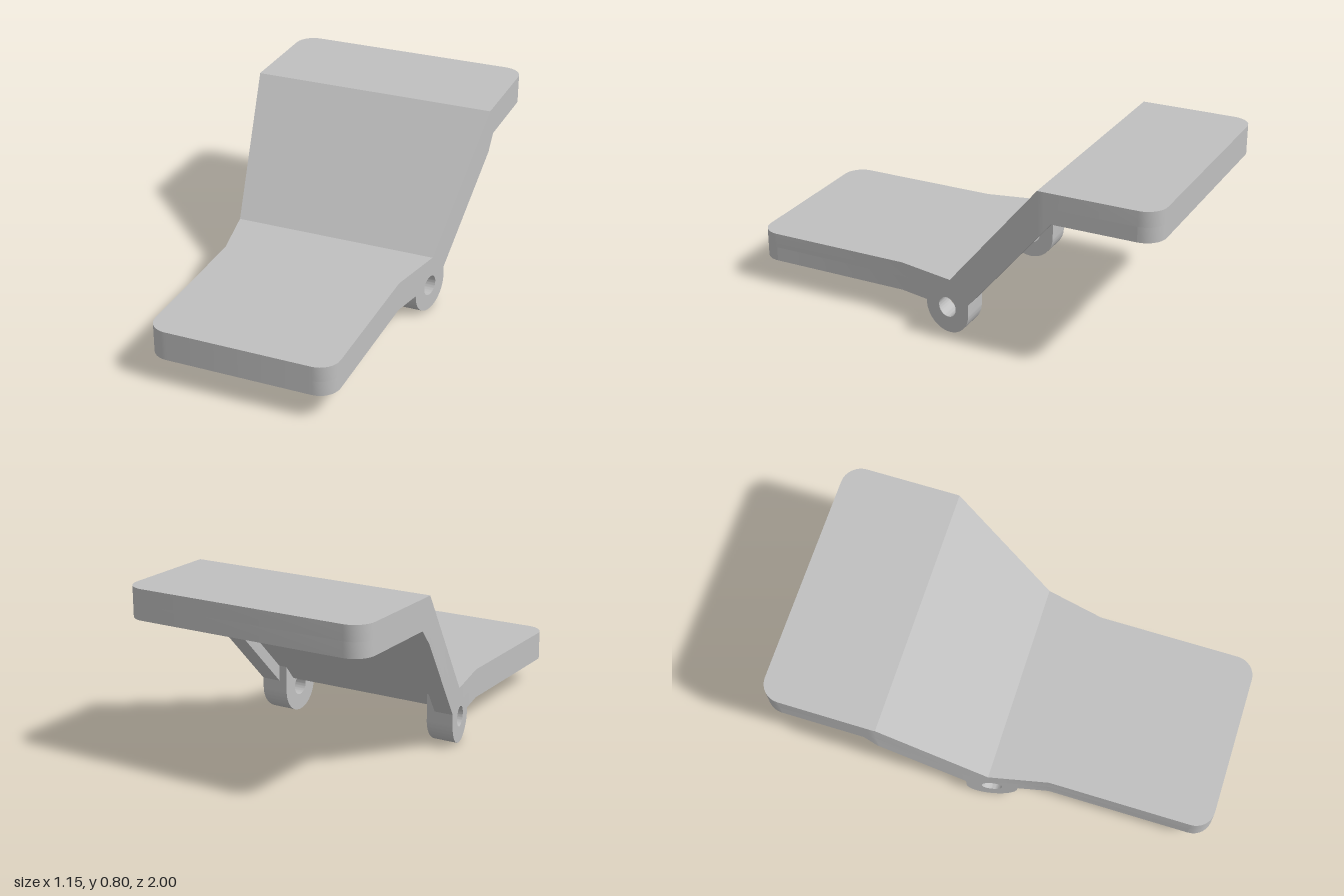
import * as THREE from 'three';
import { toCreasedNormals } from 'three/addons/utils/BufferGeometryUtils.js';

const CORNER = 0.09, RIM = 0.09;               // corner radius and rim width
const SKIN = 0.068, FLOOR = 0.088, DEEP = 0.135; // depths below the top face
const RISE = 1.198, COS = 0.641;               // slope of the ramp
const LUG_FRONT = 0.11, LUG_BACK = -0.12;

// Half width of the plan outline, with rounded end corners
function halfWidth(z) {
  const t = THREE.MathUtils.clamp((0.25 - z) / 0.73, 0, 1);
  const w = 0.42 + 0.155 * t;
  const over = Math.min(CORNER, Math.max(0, Math.abs(z) - (1 - CORNER)));
  return w - CORNER + Math.sqrt(CORNER * CORNER - over * over);
}
const inner = (z) => halfWidth(z) - RIM;

// Height of the bent profile at a given depth under the top face
const profile = (d) => (z) =>
  Math.min(Math.max(0.255 + RISE * (-z - 0.02) - d / COS, 0.255 - d), 0.8 - d);

// All z positions where outline or profile bends
const bends = [0.25, -0.48];
for (const d of [0, SKIN, FLOOR, DEEP]) {
  const shift = (d / COS - d) / RISE;
  bends.push(-0.02 - shift, -0.02 - 0.545 / RISE - shift);
}
for (let i = 0; i <= 8; i++) {
  const z = 1 - CORNER + CORNER * Math.sin((i / 8) * Math.PI / 2);
  bends.push(z, -z);
}

// Solid with four-sided sections, following the profile from z0 to z1
function loft(z0, z1, lo, hi, bottom, top) {
  const zs = [z0, ...bends.filter((z) => z > z0 + 1e-5 && z < z1 - 1e-5), z1].sort((a, b) => a - b);
  const pos = [], idx = [];
  for (const z of zs) {
    const b = bottom(z), t = top(z);
    pos.push(lo(z), b, z, hi(z), b, z, hi(z), t, z, lo(z), t, z);
  }
  for (let i = 0; i < zs.length - 1; i++) {
    for (let j = 0; j < 4; j++) {
      const a = i * 4 + j, b = i * 4 + (j + 1) % 4;
      idx.push(a, b, b + 4, a, b + 4, a + 4);
    }
  }
  const e = (zs.length - 1) * 4;
  idx.push(0, 3, 2, 0, 2, 1, e, e + 1, e + 2, e, e + 2, e + 3);
  const geo = new THREE.BufferGeometry();
  geo.setAttribute('position', new THREE.Float32BufferAttribute(pos, 3));
  geo.setIndex(idx);
  return toCreasedNormals(geo, 0.5);
}

// Hinge lug with a pin hole; its outer face follows the tapered side
function lugGeometry(side) {
  const s = new THREE.Shape();
  s.moveTo(-LUG_FRONT, 0.167);
  s.lineTo(-LUG_FRONT, 0.115);
  s.absarc(0.005, 0.115, 0.115, Math.PI, Math.PI * 2, false);
  s.lineTo(-LUG_BACK, 0.238);
  s.lineTo(0.061, 0.167);
  s.closePath();
  const hole = new THREE.Path();
  hole.absarc(0.005, 0.119, 0.046, 0, Math.PI * 2, true);
  s.holes.push(hole);
  const geo = new THREE.ExtrudeGeometry(s, { depth: 1, bevelEnabled: false, curveSegments: 24 });
  const p = geo.attributes.position;
  for (let i = 0; i < p.count; i++) {
    const z = -p.getX(i), t = p.getZ(i);
    const x = THREE.MathUtils.lerp(0.37, halfWidth(z), side > 0 ? t : 1 - t);
    p.setXYZ(i, side * x, p.getY(i), z);
  }
  return toCreasedNormals(geo, 0.5);
}

export function createModel() {
  const model = new THREE.Group();
  model.name = 'bentPedal';
  const grey = new THREE.MeshStandardMaterial({ color: 0xc0c0c0 });
  grey.name = 'light grey';
  const add = (name, geo) => {
    const mesh = new THREE.Mesh(geo, grey);
    mesh.name = name;
    model.add(mesh);
  };
  const at = (v) => () => v;
  const neg = (f) => (z) => -f(z);
  const top = profile(0), skin = profile(SKIN), floor = profile(FLOOR), deep = profile(DEEP);

  // Bent deck
  add('deck', loft(-1, 1, neg(halfWidth), halfWidth, skin, top));

  // Rim around the hollow underside
  add('frontRim', loft(1 - RIM, 1, neg(halfWidth), halfWidth, deep, skin));
  add('backRim', loft(-1, RIM - 1, neg(halfWidth), halfWidth, deep, skin));
  for (const side of [1, -1]) {
    const lo = side > 0 ? inner : neg(halfWidth);
    const hi = side > 0 ? halfWidth : neg(inner);
    const label = side > 0 ? 'left' : 'right';
    add(label + 'FrontSideRim', loft(LUG_FRONT, 1 - RIM, lo, hi, deep, skin));
    add(label + 'BackSideRim', loft(RIM - 1, LUG_BACK, lo, hi, deep, skin));
    // Outer band of the side between the two rims, above the lug
    add(label + 'SideBand', loft(LUG_BACK, LUG_FRONT, lo, hi, floor, skin));
    add(label + 'HingeLug', lugGeometry(side));
  }

  // Underside lining, leaving a shallow stepped pocket
  const pocketRight = at(-0.066);
  add('rampLining', loft(RIM - 1, -0.04, neg(inner), inner, floor, skin));
  add('frontLining', loft(0.6, 1 - RIM, neg(inner), inner, floor, skin));
  add('rightLining', loft(-0.04, 0.6, neg(inner), pocketRight, floor, skin));
  add('leftLiningWide', loft(0.31, 0.6, at(0.14), inner, floor, skin));
  add('leftLiningNarrow', loft(-0.04, 0.31, at(0.24), inner, floor, skin));
  return model;
}
